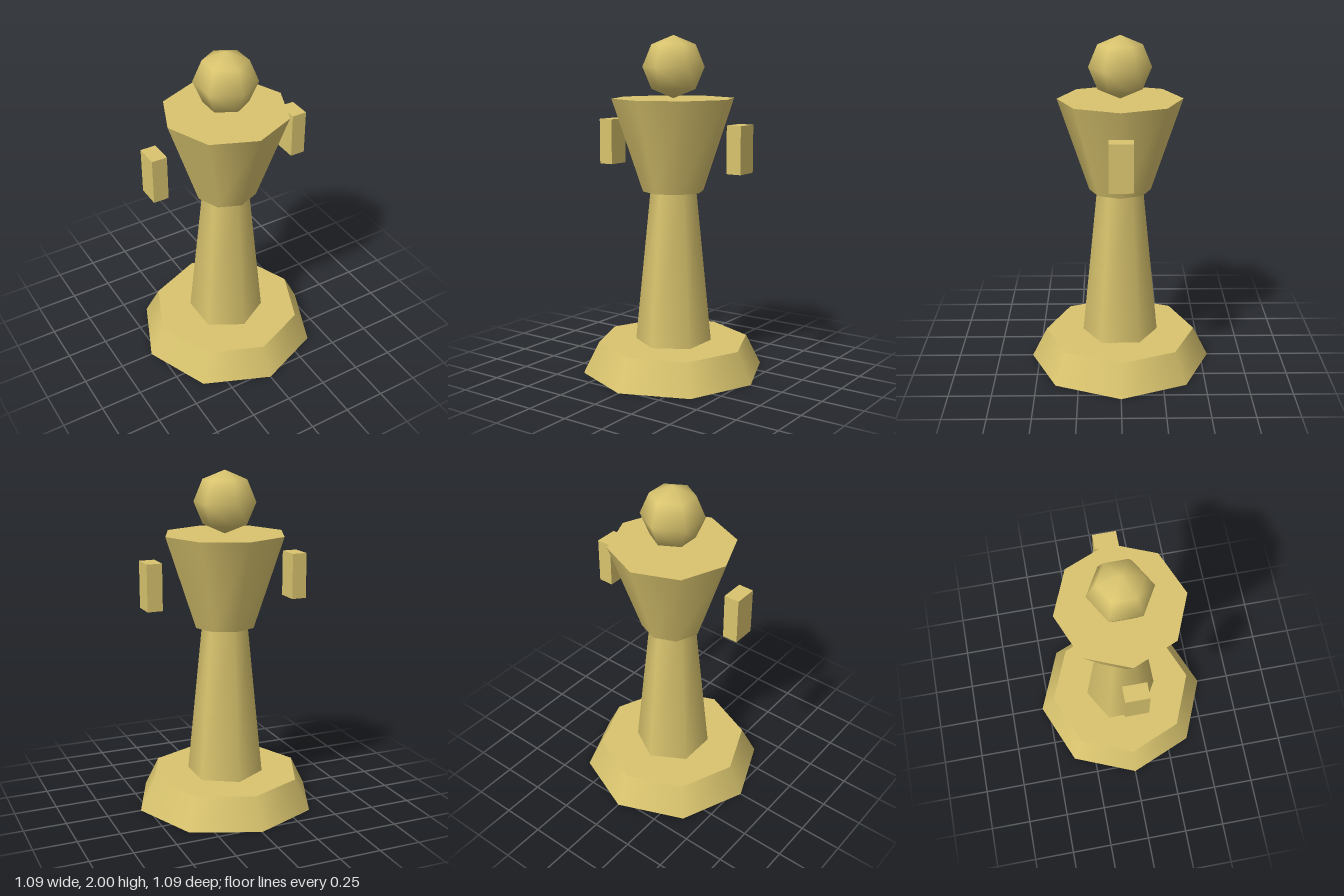
import * as THREE from 'three';

const U = 1 / 11; // the figure is 22 units tall

export function createModel() {
  const group = new THREE.Group();
  const material = new THREE.MeshStandardMaterial({ color: 0xd9c46e });

  const add = (name, geometry, x, y) => {
    const mesh = new THREE.Mesh(geometry, material);
    mesh.name = name;
    mesh.position.set(x * U, y * U, 0);
    group.add(mesh);
    return mesh;
  };

  // Tapered column standing on height y, with a corner facing front
  const taper = (name, top, bottom, height, sides, y) =>
    add(name, new THREE.CylinderGeometry(top * U, bottom * U, height * U, sides), 0, y + height / 2);

  taper('base', 5, 6, 2, 8, 0);
  taper('stem', 1.5, 2.5, 10, 6, 2);
  taper('torso', 4, 2, 6, 8, 12);

  // Faceted head, turned so a corner faces front
  const head = add('head', new THREE.SphereGeometry(2 * U, 6, 4), 0, 20);
  head.rotation.y = Math.PI / 2;

  // Floating arm blocks
  for (const [name, side] of [['leftArm', 1], ['rightArm', -1]]) {
    add(name, new THREE.BoxGeometry(U, 3 * U, 1.5 * U), side * 5, 15);
  }

  return group;
}
